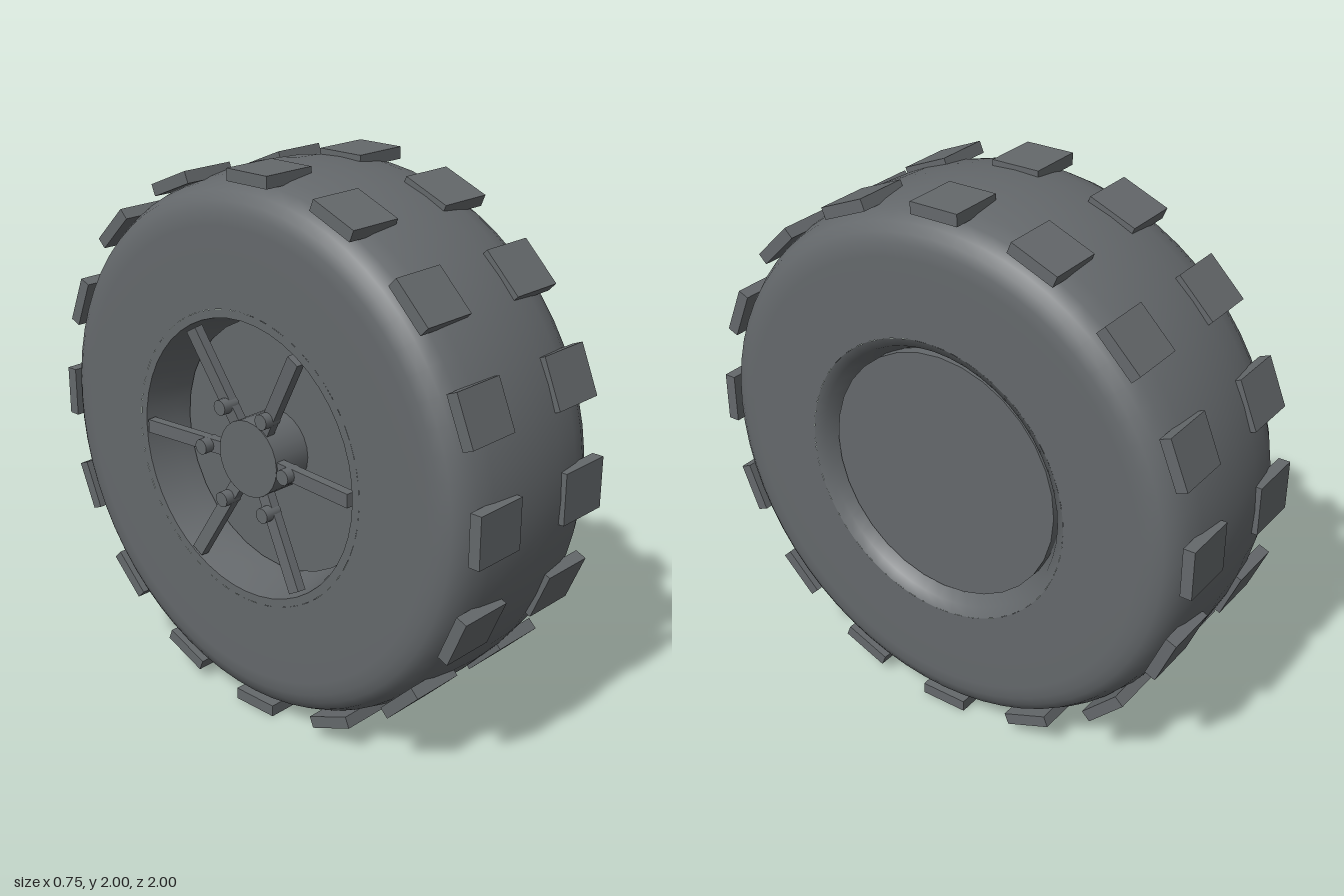
import * as THREE from 'three';

export function createModel() {
  const wheel = new THREE.Group();
  wheel.name = 'wheel';
  wheel.position.set(0.005, 1, 0);
  const rubber = new THREE.MeshStandardMaterial({ color: 0x64686b });
  rubber.name = 'dark grey';

  const add = (name, geometry, parent = wheel) => {
    const mesh = new THREE.Mesh(geometry, rubber);
    mesh.name = name;
    parent.add(mesh);
    return mesh;
  };
  // Turned parts: points are [radius, x], the axle runs along x
  const turned = (name, points, segments = 48) =>
    add(name, new THREE.LatheGeometry(points.map(p => new THREE.Vector2(...p)), segments).rotateZ(-Math.PI / 2));
  const axleCylinder = (r, x0, x1, segments) =>
    new THREE.CylinderGeometry(r, r, x1 - x0, segments).rotateZ(-Math.PI / 2).translate((x0 + x1) / 2, 0, 0);

  // Tyre: flat sidewalls, rounded shoulders and slightly crowned tread
  const half = [[0.535, 0.365], [0.7, 0.365], [0.82, 0.365], [0.865, 0.362], [0.9, 0.347],
    [0.93, 0.327], [0.955, 0.28], [0.97, 0.22], [0.983, 0.12]];
  turned('tyre', [...half.map(([r, x]) => [r, -x]), [0.988, 0], ...half.slice().reverse()], 64);

  // Rim: lip on the spoked side, tapering bore through the wheel
  turned('innerBore', [[0.535, 0.365], [0.5, 0.345], [0.46, 0.27], [0.45, 0.2]]);
  turned('rimLip', [[0.505, -0.365], [0.535, -0.365]]);
  turned('outerBore', [[0.45, 0.2], [0.46, -0.1], [0.48, -0.24], [0.505, -0.365]]);

  // Closing plate on the plain side, backing plate and hub behind the spokes
  add('coverPlate', axleCylinder(0.465, 0.27, 0.315, 32));
  add('backPlate', axleCylinder(0.465, -0.19, -0.14, 32));
  add('hub', axleCylinder(0.14, -0.345, -0.18, 24));

  // Six spokes leaning outward to the rim, each with a wheel nut
  for (let i = 0; i < 6; i++) {
    const arm = new THREE.Group();
    arm.name = 'spokeArm';
    arm.rotation.x = i * Math.PI / 3;
    wheel.add(arm);
    const spoke = add('spoke', new THREE.BoxGeometry(0.035, 0.05, 0.4), arm);
    spoke.position.set(-0.336, 0, 0.29);
    spoke.rotation.y = -0.09;
    const nut = add('wheelNut', axleCylinder(0.028, -0.38, -0.31, 12), arm);
    nut.position.z = 0.2;
  }

  // Two rows of sixteen tread blocks
  for (let i = 0; i < 16; i++) {
    const row = new THREE.Group();
    row.name = 'treadPair';
    row.rotation.x = i * Math.PI / 8;
    wheel.add(row);
    for (const side of [-1, 1]) {
      const block = add('treadBlock', new THREE.BoxGeometry(0.21, 0.043, 0.185), row);
      block.position.set(side * 0.225, 0.9785, 0);
    }
  }
  return wheel;
}
